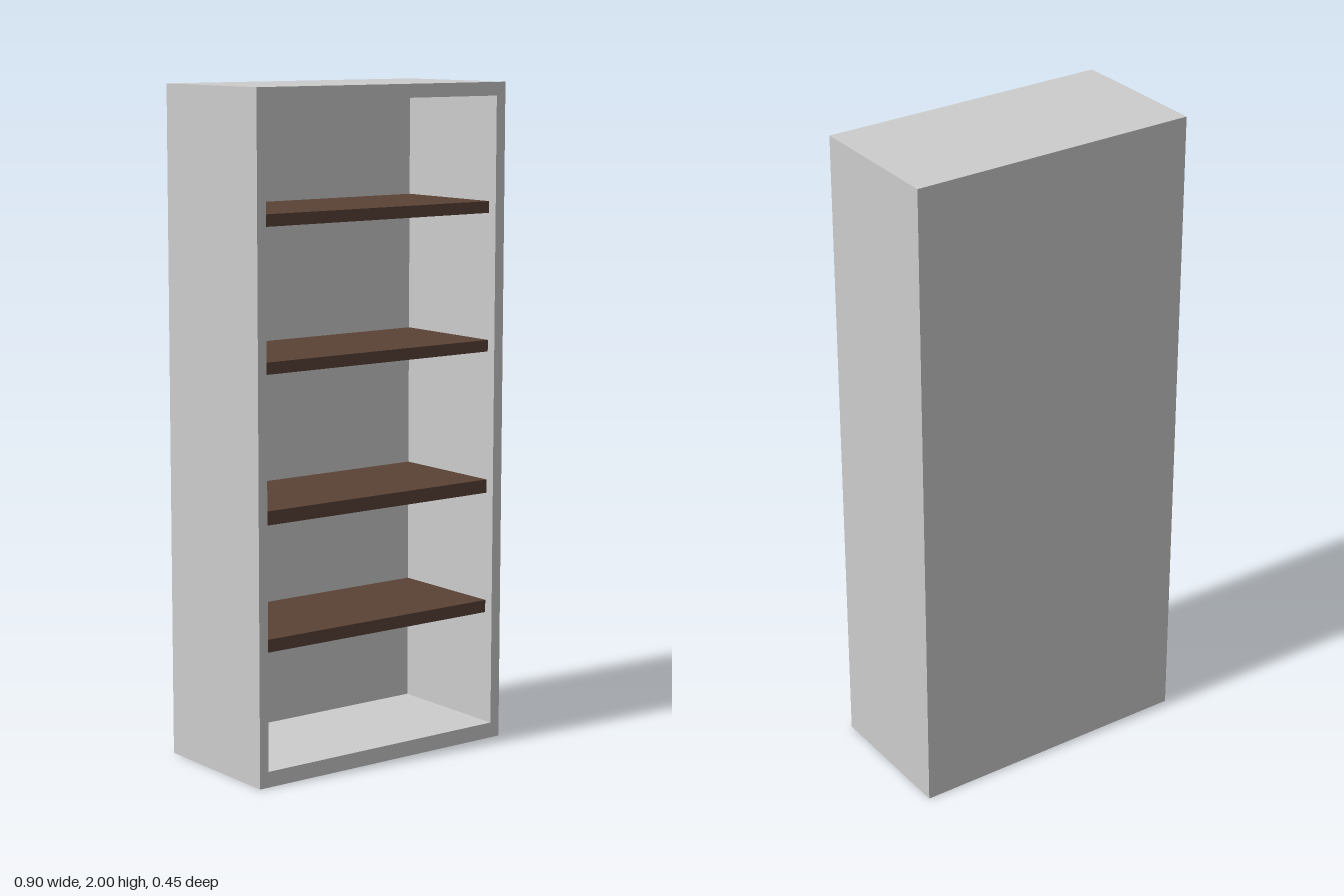
import * as THREE from 'three';

const W = 0.9, H = 2, D = 0.45;                       // outer size
const IN = { x0: -0.42, x1: 0.417, y0: 0.047, y1: 1.96, back: -0.185 }; // cavity

const grey = new THREE.MeshStandardMaterial({ color: 0xcccccc, side: THREE.DoubleSide });
grey.name = 'pale grey';
const wood = new THREE.MeshStandardMaterial({ color: 0x5a4135 });
wood.name = 'dark wood';

function add(group, name, geometry, material) {
  const mesh = new THREE.Mesh(geometry, material);
  mesh.name = name;
  group.add(mesh);
  return mesh;
}

// Flat sheet facing the given way: rotation about x, then y
function sheet(group, name, w, h, x, y, z, rx = 0, ry = 0) {
  const g = new THREE.PlaneGeometry(w, h).rotateX(rx).rotateY(ry).translate(x, y, z);
  return add(group, name, g, grey);
}

export function createModel() {
  const model = new THREE.Group();
  model.name = 'bookcase';
  const q = Math.PI / 2;

  // Outer shell, open underneath
  const shell = new THREE.Group();
  shell.name = 'outerShell';
  model.add(shell);
  sheet(shell, 'rightSide', D, H, W / 2, H / 2, 0, 0, q);
  sheet(shell, 'leftSide', D, H, -W / 2, H / 2, 0, 0, -q);
  sheet(shell, 'backPanel', W, H, 0, H / 2, -D / 2, 0, Math.PI);
  sheet(shell, 'topPanel', W, D, 0, H, 0, -q);

  // Front rim around the opening
  const rim = new THREE.Shape([[-W / 2, 0], [W / 2, 0], [W / 2, H], [-W / 2, H]]
    .map(([x, y]) => new THREE.Vector2(x, y)));
  rim.holes.push(new THREE.Path([[IN.x0, IN.y0], [IN.x0, IN.y1], [IN.x1, IN.y1], [IN.x1, IN.y0]]
    .map(([x, y]) => new THREE.Vector2(x, y))));
  add(shell, 'frontRim', new THREE.ShapeGeometry(rim).translate(0, 0, D / 2), grey);

  // Cavity lining
  const lining = new THREE.Group();
  lining.name = 'lining';
  model.add(lining);
  const w = IN.x1 - IN.x0, h = IN.y1 - IN.y0, d = D / 2 - IN.back;
  const cx = (IN.x0 + IN.x1) / 2, cy = (IN.y0 + IN.y1) / 2, cz = (D / 2 + IN.back) / 2;
  sheet(lining, 'innerLeft', d, h, IN.x0, cy, cz, 0, q);
  sheet(lining, 'innerRight', d, h, IN.x1, cy, cz, 0, -q);
  sheet(lining, 'innerBack', w, h, cx, cy, IN.back);
  sheet(lining, 'floor', w, d, cx, IN.y0, cz, -q);
  sheet(lining, 'ceiling', w, d, cx, IN.y1, cz, q);

  // Shelves: bottom and top heights
  const shelfFront = 0.195;
  [[0.39, 0.428], [0.762, 0.803], [1.195, 1.23], [1.612, 1.647]].forEach(([y0, y1], i) => {
    const g = new THREE.BoxGeometry(w, y1 - y0, shelfFront - IN.back);
    g.translate(cx, (y0 + y1) / 2, (shelfFront + IN.back) / 2);
    add(model, 'shelf' + (i + 1), g, wood);
  });

  return model;
}
